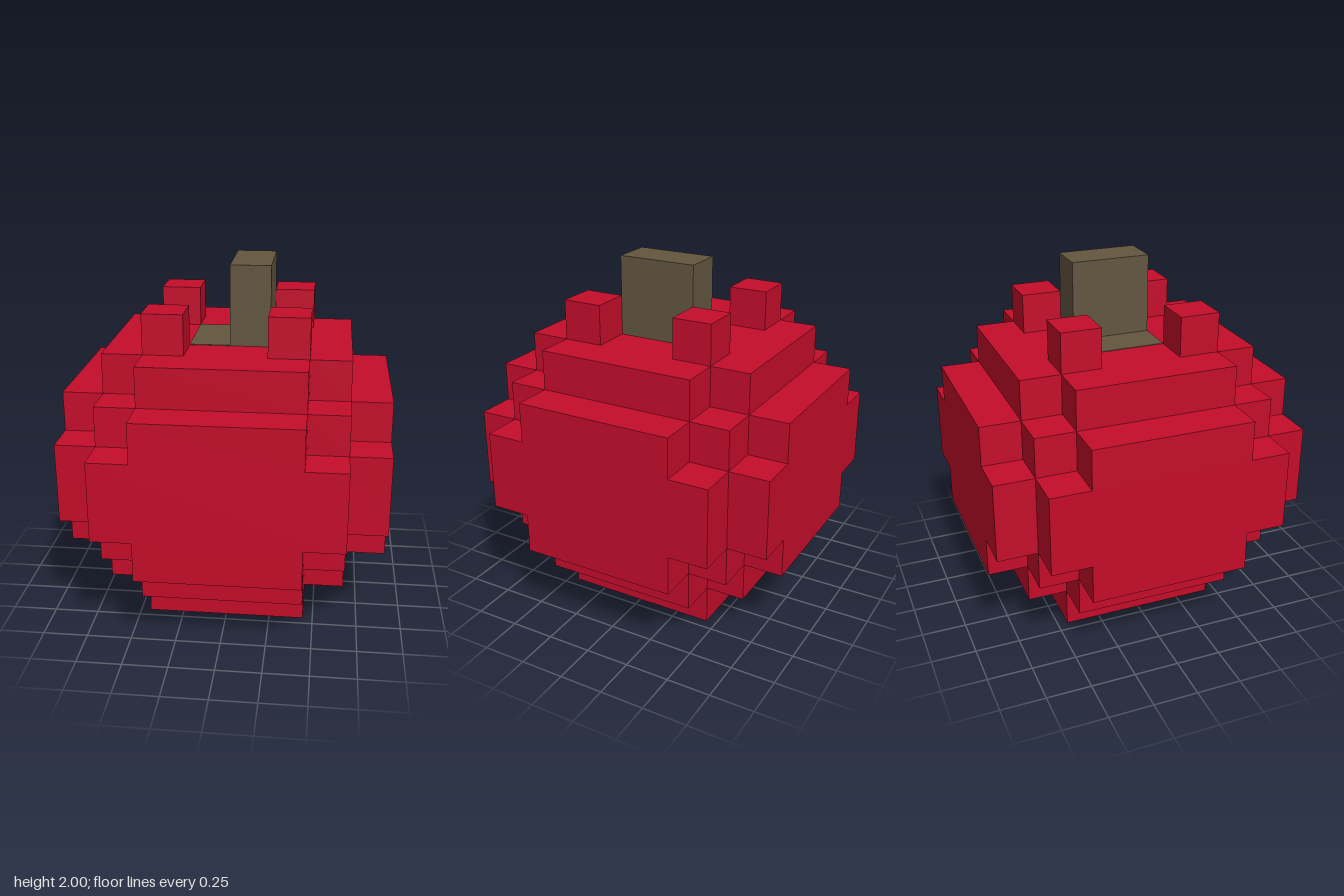
import * as THREE from 'three';

const U = 2 / 9; // one block

export function createModel() {
  const group = new THREE.Group();
  const red = new THREE.MeshStandardMaterial({ name: 'appleRed', color: 0xc60d2b });
  const brown = new THREE.MeshStandardMaterial({ name: 'stemBrown', color: 0x635640 });

  // Box given by its lower and upper corners, in blocks
  function box(name, material, [x0, y0, z0], [x1, y1, z1]) {
    const mesh = new THREE.Mesh(
      new THREE.BoxGeometry((x1 - x0) * U, (y1 - y0) * U, (z1 - z0) * U), material);
    mesh.position.set((x0 + x1) * U / 2, (y0 + y1) * U / 2, (z0 + z1) * U / 2);
    mesh.name = name;
    group.add(mesh);
  }

  // Stepped slab: outer corners of one quadrant, repeated by quarter turns
  function slab(name, y0, y1, corners) {
    const quadrant = [];
    corners.forEach(([x, y], i) => {
      if (i > 0) quadrant.push([x, corners[i - 1][1]]);
      quadrant.push([x, y]);
    });
    const outline = [];
    for (let turn = 0; turn < 4; turn++) {
      for (const [x, y] of quadrant) {
        outline.push(new THREE.Vector2(x * U, y * U)
          .rotateAround(new THREE.Vector2(), turn * Math.PI / 2));
      }
    }
    const geometry = new THREE.ExtrudeGeometry(new THREE.Shape(outline),
      { depth: (y1 - y0) * U, bevelEnabled: false });
    geometry.rotateX(-Math.PI / 2);
    const mesh = new THREE.Mesh(geometry, red);
    mesh.position.y = y0 * U;
    mesh.name = name;
    group.add(mesh);
  }

  // Fruit body, bottom to top
  const shoulder = [[3, 2], [2, 3]];
  const rim = [[4, 2], [3, 3], [2, 4]];
  const belly = [[4, 3], [3, 4]];
  slab('base', 0, 1, [[2, 2]]);
  slab('lowerShoulder', 1, 2, shoulder);
  slab('lowerRim', 2, 3, rim);
  slab('belly', 3, 5, belly);
  slab('upperRim', 5, 6, rim);
  slab('upperShoulder', 6, 7, shoulder);

  // Four bumps around the stem
  for (const sx of [-1, 1]) {
    for (const sz of [-1, 1]) {
      const x = sx > 0 ? 1 : -2, z = sz > 0 ? 1 : -2;
      box('topBump', red, [x, 7, z], [x + 1, 8, z + 1]);
    }
  }

  // Stem and the thin patch it grows from
  box('stemPatch', brown, [-1, 7, -1], [0, 7.015, 1]);
  box('stem', brown, [0, 7, -1], [1, 9, 1]);

  return group;
}
